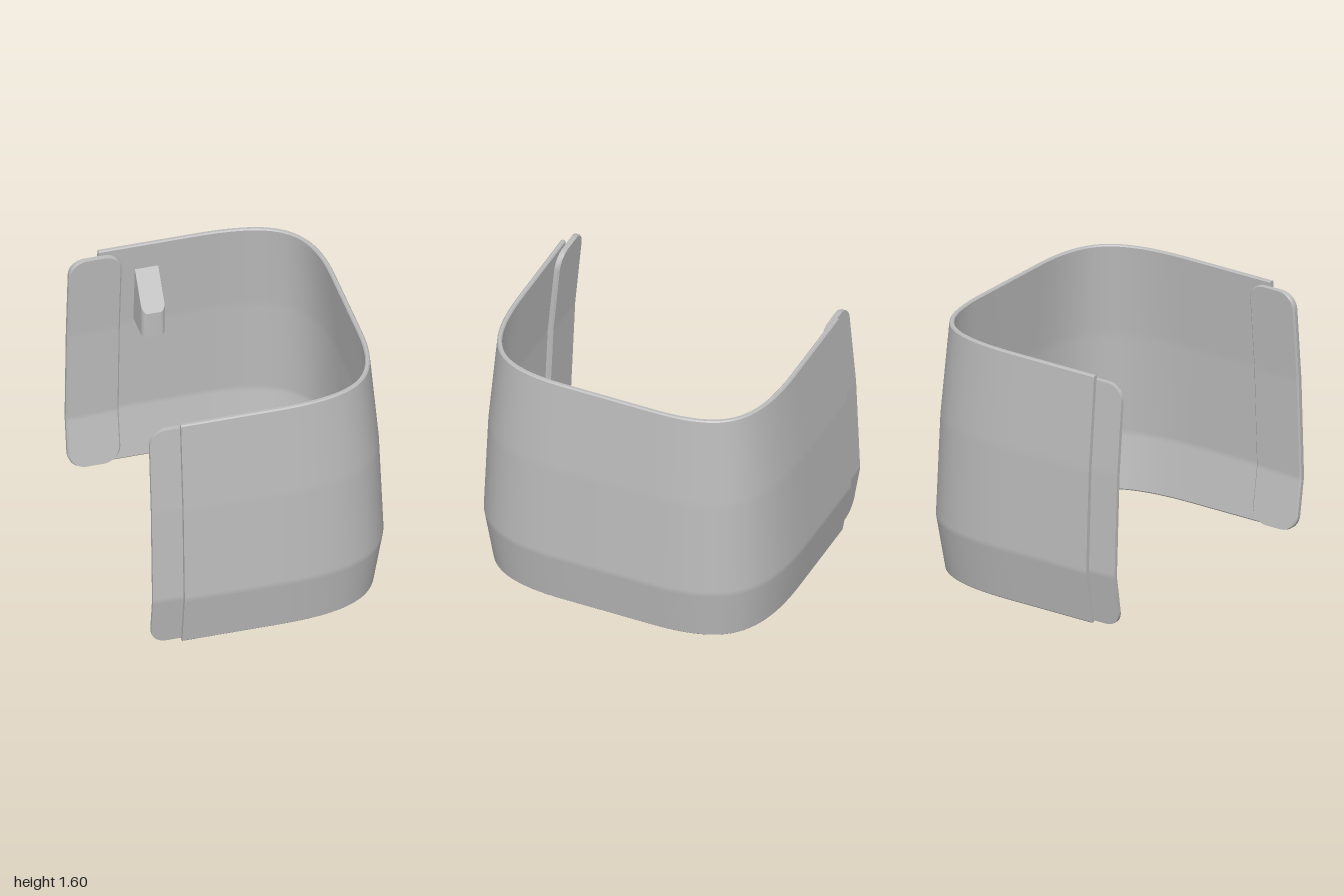
import * as THREE from 'three';
import { toCreasedNormals, mergeGeometries } from 'three/addons/utils/BufferGeometryUtils.js';

const H = 1.6, WALL = 0.03, OPEN_X = -0.6;

// How far the outer wall leans inwards at each height
const LEAN = [[0, 0.057], [0.35, 0], [1, 0.027], [1.6, 0.081]];
function lean(y) {
  for (let i = 1; i < LEAN.length; i++) {
    const [y0, a] = LEAN[i - 1], [y1, b] = LEAN[i];
    if (y <= y1) return a + (b - a) * (y - y0) / (y1 - y0);
  }
  return LEAN[LEAN.length - 1][1];
}

// Grid surface; its front is the side of du x dv
function patch(nu, nv, f, flip = false) {
  const pos = [], idx = [];
  for (let j = 0; j <= nv; j++) for (let i = 0; i <= nu; i++) pos.push(...f(i, j));
  for (let j = 0; j < nv; j++) for (let i = 0; i < nu; i++) {
    const a = j * (nu + 1) + i, b = a + 1, c = a + nu + 1, d = c + 1;
    idx.push(...(flip ? [a, c, b, b, c, d] : [a, b, c, b, d, c]));
  }
  const g = new THREE.BufferGeometry();
  g.setAttribute('position', new THREE.Float32BufferAttribute(pos, 3));
  g.setIndex(idx);
  return g;
}
const join = (parts, crease = 0.5) => toCreasedNormals(mergeGeometries(parts), crease);

// Plan of the widest outline: front side, rounded corner, end wall, mirrored to the back
function planOutline() {
  const corner = new THREE.CubicBezierCurve(
    new THREE.Vector2(0, 1), new THREE.Vector2(0.55, 1),
    new THREE.Vector2(0.786, 0.85), new THREE.Vector2(0.786, 0.3));
  const half = [{ x: OPEN_X, z: 1, nx: 0, nz: 1 }, { x: -0.3, z: 1, nx: 0, nz: 1 }];
  const n = 28;
  for (let i = 0; i <= n; i++) {
    const p = corner.getPoint(i / n), t = corner.getTangent(i / n);
    half.push({ x: p.x, z: p.y, nx: -t.y, nz: t.x });
  }
  const back = half.map(p => ({ ...p, z: -p.z, nz: -p.nz })).reverse();
  return [...half, ...back];
}

function shellGeometry() {
  const plan = planOutline();
  const ys = [0, 0.008, 0.16, 0.33, 0.35, 0.37, 0.68, 0.97, 1, 1.03, 1.3, H - 0.008, H];
  const rows = ys.map((y, i) => {
    const bevel = i === 0 || i === ys.length - 1 ? 0.007 : 0;
    return { y, outer: lean(y) + bevel, inner: lean(y) + WALL - bevel };
  });
  const at = (p, off, y) => [p.x - p.nx * off, y, p.z - p.nz * off];
  // Closed wall section: up the outside, down the inside
  const loop = [...rows.map(r => [r.outer, r.y]), ...rows.map(r => [r.inner, r.y]).reverse()];
  loop.push(loop[0]);
  const wall = patch(plan.length - 1, loop.length - 1, (i, j) => at(plan[i], ...loop[j]));
  // Ends of the wall at the open side
  const cap = (p, flip) => patch(1, rows.length - 1,
    (i, j) => at(p, i ? rows[j].outer : rows[j].inner, rows[j].y), flip);
  return join([wall, cap(plan[0], false), cap(plan[plan.length - 1], true)]);
}

// Round-cornered flange lying against the inside of the wall
function flangeGeometry(side) {
  const x0 = -0.79, x1 = -0.46, y0 = 0.01, y1 = 1.567, r = 0.1, b = 0.01, steps = 8;
  const rows = [];
  const arc = i => ({ cut: r * (1 - Math.sin(i / steps * Math.PI / 2)), h: r * (1 - Math.cos(i / steps * Math.PI / 2)) });
  for (let i = 0; i <= steps; i++) rows.push({ y: y0 + arc(i).h, cut: arc(i).cut });
  for (const y of [0.33, 0.35, 0.37, 0.68, 0.97, 1, 1.03, 1.3]) rows.push({ y, cut: 0 });
  for (let i = steps; i >= 0; i--) rows.push({ y: y1 - arc(i).h, cut: arc(i).cut });

  const section = ({ y, cut }) => {
    const l = x0 + cut, e = x1 - cut, o = 1 - lean(y) - WALL + 0.002, n = o - 0.035;
    return [[l, o], [e, o], [e, n + b], [e - b, n], [l + b, n], [l, n + b], [l, o]]
      .map(([x, z]) => [x, y, z * side]);
  };
  const rings = rows.map(section), last = rings.length - 1, flip = side < 0;
  const body = patch(6, last, (i, j) => rings[j][i], flip);
  // Flat top and bottom edges
  const edge = (ring, f) => patch(1, 2, (i, j) => ring[[[0, 1], [5, 2], [4, 3]][j][i]], f);
  return join([body, edge(rings[last], flip), edge(rings[0], !flip)]);
}

// Catch with a sloping top and rounded inner corners
function catchGeometry() {
  const xa = -0.37, xb = -0.225, zw = -0.92, zt = -0.737, r = 0.035;
  const s = new THREE.Shape();
  s.moveTo(xa, -zw);
  s.lineTo(xa, -zt + r);
  s.absarc(xa + r, -zt + r, r, Math.PI, Math.PI * 1.5, false);
  s.absarc(xb - r, -zt + r, r, -Math.PI / 2, 0, false);
  s.lineTo(xb, -zw);
  const g = new THREE.ExtrudeGeometry(s, { depth: 1, bevelEnabled: false, curveSegments: 6 });
  g.rotateX(-Math.PI / 2);
  const p = g.attributes.position;
  for (let i = 0; i < p.count; i++) {
    const z = p.getZ(i), top = p.getY(i) > 0.5;
    p.setY(i, top ? 1.19 + 0.24 * (zt - z) / (zt - zw) : 1.02);
    if (!top && z < zw + 0.001) p.setZ(i, -0.958); // root follows the leaning wall
  }
  return toCreasedNormals(g, 0.5);
}

export function createModel() {
  const model = new THREE.Group();
  model.name = 'wrapAroundCover';
  const grey = new THREE.MeshStandardMaterial({ color: 0xbcbcbc });
  grey.name = 'plain grey';
  const add = (name, geometry) => {
    const mesh = new THREE.Mesh(geometry, grey);
    mesh.name = name;
    model.add(mesh);
  };
  add('shell', shellGeometry());
  add('frontFlange', flangeGeometry(1));
  add('backFlange', flangeGeometry(-1));
  add('catch', catchGeometry());
  return model;
}
